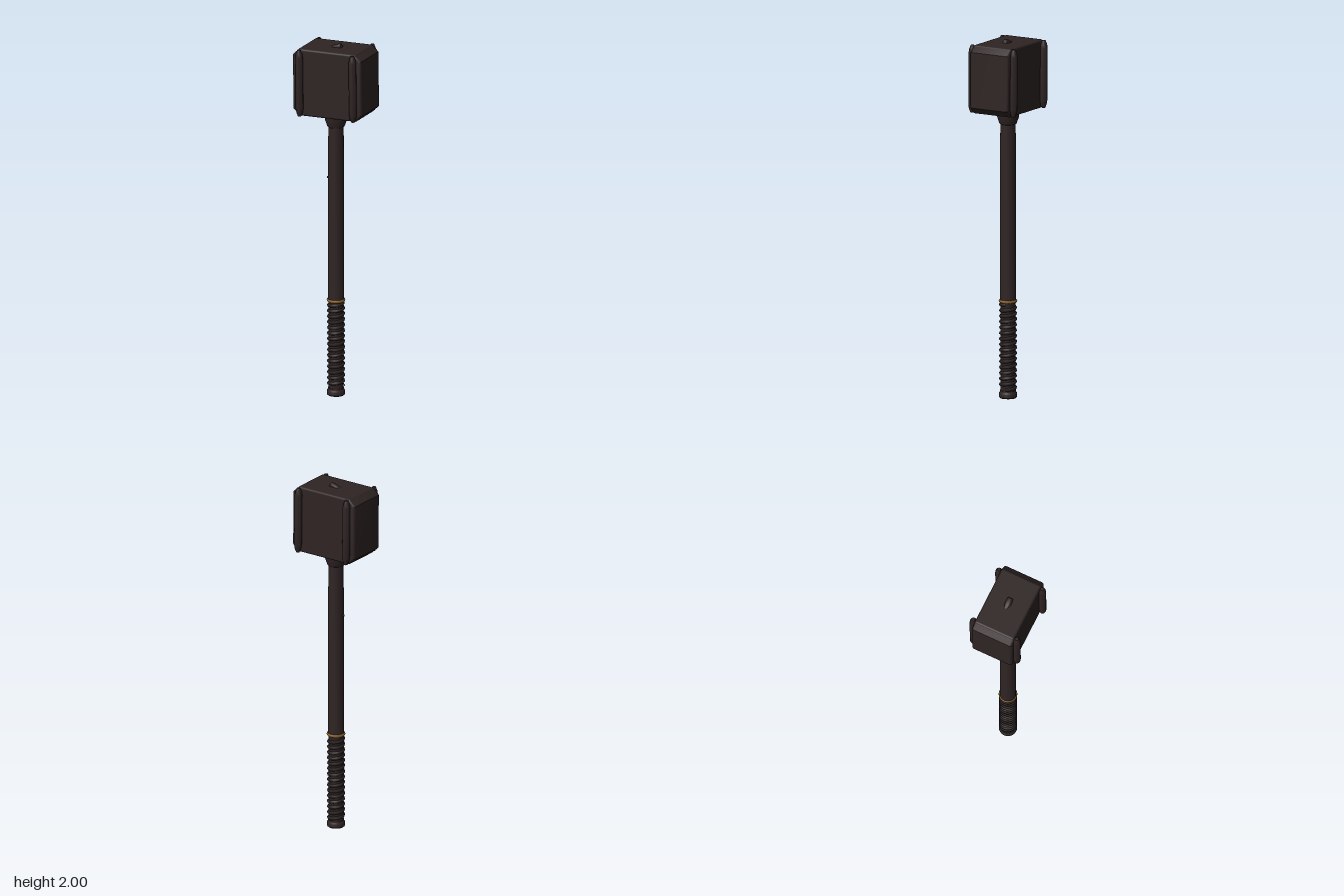
import * as THREE from 'three';
import { RoundedBoxGeometry } from 'three/addons/geometries/RoundedBoxGeometry.js';
import { toCreasedNormals } from 'three/addons/utils/BufferGeometryUtils.js';

const material = (name, color) => {
  const m = new THREE.MeshStandardMaterial({ color });
  m.name = name;
  return m;
};

function lathe(points, segments = 24, crease = 0.6) {
  const pts = points.map(([r, y]) => new THREE.Vector2(r, y));
  return toCreasedNormals(new THREE.LatheGeometry(pts, segments), crease);
}

// Continuous wrap wound around the handle
class Helix extends THREE.Curve {
  constructor(radius, y0, y1, turns) {
    super();
    Object.assign(this, { radius, y0, y1, turns });
  }
  getPoint(t, target = new THREE.Vector3()) {
    const a = -t * this.turns * Math.PI * 2;
    return target.set(
      Math.cos(a) * this.radius,
      this.y0 + (this.y1 - this.y0) * t,
      Math.sin(a) * this.radius
    );
  }
}

export function createModel() {
  const iron = material('dark iron', 0x2f2424);
  const leather = material('dark leather', 0x2b2121);
  const brass = material('brass', 0x8a6228);

  const model = new THREE.Group();
  model.name = 'hammer';
  const add = (parent, name, geometry, mat, x = 0, y = 0, z = 0) => {
    const mesh = new THREE.Mesh(geometry, mat);
    mesh.name = name;
    mesh.position.set(x, y, z);
    parent.add(mesh);
    return mesh;
  };

  // Handle: shaft, grip and pommel
  add(model, 'shaft', lathe([[0.045, 0.53], [0.044, 1], [0.042, 1.56]]), iron);
  add(model, 'gripCore', lathe([[0.042, 0.03], [0.042, 0.54]]), leather);
  add(model, 'gripWrap',
    new THREE.TubeGeometry(new Helix(0.039, 0.05, 0.525, 15), 420, 0.0105, 6), leather);
  add(model, 'pommel', lathe([
    [0, 0], [0.044, 0], [0.05, 0.006], [0.05, 0.026], [0.045, 0.034], [0.045, 0.042], [0, 0.042]
  ]), iron);
  const ring = add(model, 'gripRing', new THREE.TorusGeometry(0.042, 0.009, 8, 32), brass, 0, 0.54);
  ring.rotation.x = Math.PI / 2;
  add(model, 'shaftStud', new THREE.SphereGeometry(0.007, 8, 6), iron, -0.044, 1.235, 0);

  // Flared collar under the head
  add(model, 'collar', lathe([
    [0.042, 1.525], [0.047, 1.528], [0.06, 1.565], [0.062, 1.588],
    [0.074, 1.592], [0.074, 1.61], [0, 1.61]
  ]), iron);

  // Head, turned on the shaft
  const head = new THREE.Group();
  head.name = 'head';
  head.position.y = 1.79;
  head.rotation.set(0, -0.225, 0.012, 'YXZ');
  model.add(head);
  add(head, 'headBlock', new RoundedBoxGeometry(0.35, 0.38, 0.238, 3, 0.012), iron);

  // Striking faces with chamfered top and bottom
  const profile = new THREE.Shape([
    [0.15, -0.176], [0.167, -0.176], [0.195, -0.15],
    [0.195, 0.15], [0.167, 0.176], [0.15, 0.176]
  ].map(([x, y]) => new THREE.Vector2(x, y)));
  const face = new THREE.ExtrudeGeometry(profile, {
    depth: 0.216, bevelThickness: 0.012, bevelSize: 0.01, bevelSegments: 3
  });
  face.translate(0, 0, -0.108);
  const faceGeometry = toCreasedNormals(face, 0.6);
  for (const side of [1, -1]) {
    const mesh = add(head, side > 0 ? 'leftFace' : 'rightFace', faceGeometry, iron);
    mesh.rotation.y = side > 0 ? 0 : Math.PI;
  }

  // Upright beads with tapered ends at the four corners
  const bead = lathe([
    [0, -0.19], [0.01, -0.187], [0.018, -0.165], [0.021, -0.145],
    [0.021, 0.145], [0.018, 0.165], [0.01, 0.187], [0, 0.19]
  ], 12, 0.8);
  for (const x of [-0.16, 0.16]) {
    for (const z of [-0.131, 0.131]) add(head, 'cornerBead', bead, iron, x, 0, z);
  }

  // Leaning peg on top of the head
  const peg = add(head, 'topPeg', lathe([
    [0, -0.05], [0.01, -0.047], [0.017, -0.03], [0.019, 0], [0.016, 0.032], [0.013, 0.036], [0, 0.036]
  ], 16), iron, 0.002, 0.184, 0);
  peg.rotation.z = -1.2;

  return model;
}
